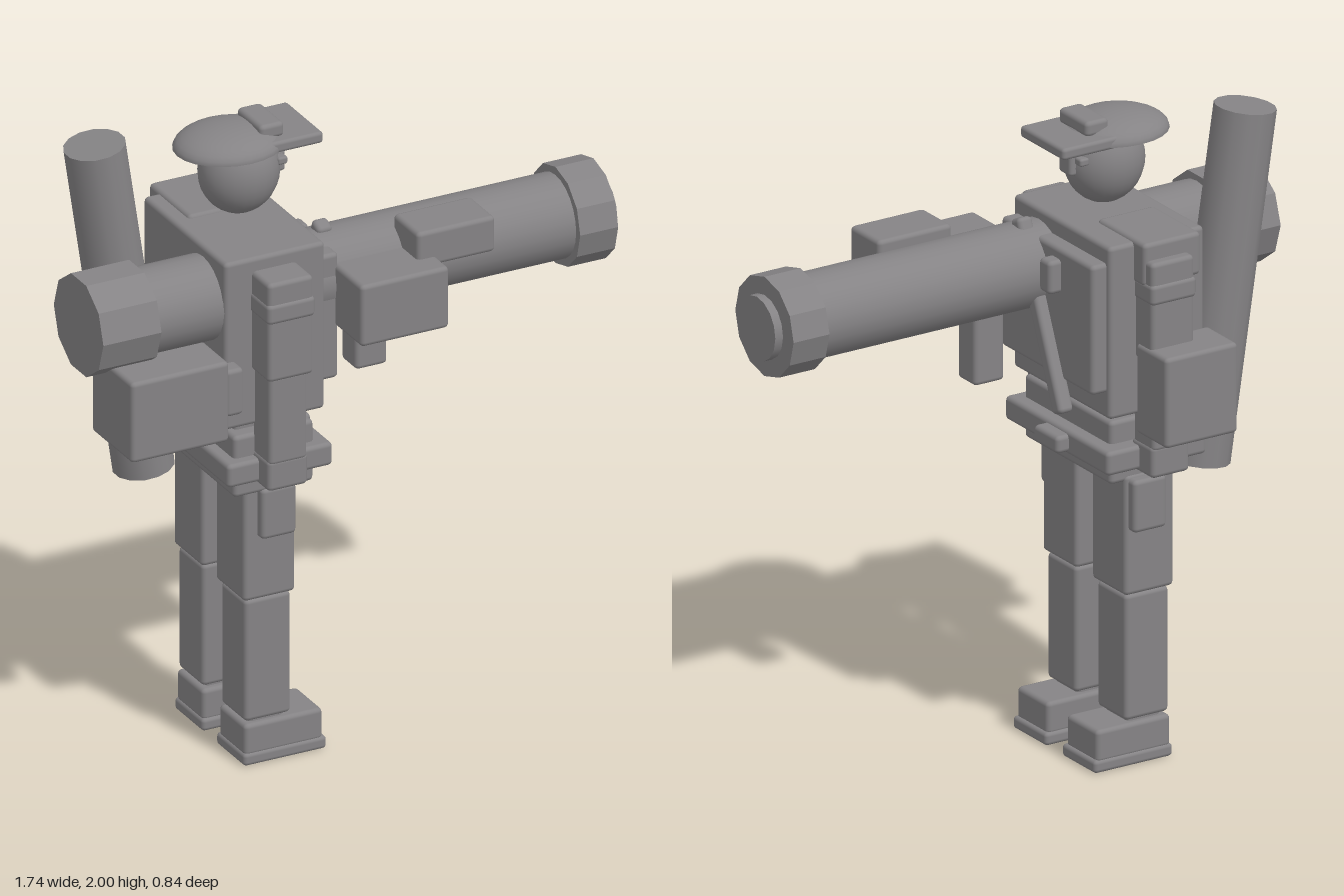
import * as THREE from 'three';
import { RoundedBoxGeometry } from 'three/addons/geometries/RoundedBoxGeometry.js';

const grey = new THREE.MeshStandardMaterial({ color: 0x858385 });
grey.name = 'grey';
const greyFlat = grey;

export function createModel() {
  const model = new THREE.Group();
  model.name = 'soldier';

  const add = (name, geometry) => {
    const mesh = new THREE.Mesh(geometry, greyFlat);
    mesh.name = name;
    model.add(mesh);
    return mesh;
  };

  // Softly bevelled box given by its limits on each axis
  const box = (name, [x0, x1], [y0, y1], [z0, z1]) => {
    const w = x1 - x0, h = y1 - y0, d = z1 - z0;
    const r = Math.min(0.014, Math.min(w, h, d) * 0.3);
    const mesh = add(name, new RoundedBoxGeometry(w, h, d, 2, r));
    mesh.position.set((x0 + x1) / 2, (y0 + y1) / 2, (z0 + z1) / 2);
    return mesh;
  };

  // The same box on both sides of the body's middle plane
  const MID = 0.018;
  const pair = (name, x, y, [z0, z1]) => {
    box(name + 'Right', x, y, [z0, z1]);
    box(name + 'Left', x, y, [2 * MID - z1, 2 * MID - z0]);
  };

  // Cylinder lying along x, with flat sides when it has few of them
  const tube = (name, x0, x1, r, sides) => {
    let g = new THREE.CylinderGeometry(r, r, x1 - x0, sides);
    if (sides < 16) {
      g = g.toNonIndexed();
      g.computeVertexNormals();
    }
    g.rotateZ(-Math.PI / 2);
    add(name, g).position.set((x0 + x1) / 2, 1.512, 0.13);
  };

  // Legs and boots
  pair('sole', [-0.378, -0.103], [0, 0.04], [0.06, 0.24]);
  pair('boot', [-0.373, -0.114], [0.03, 0.132], [0.068, 0.235]);
  pair('shin', [-0.37, -0.217], [0.14, 0.537], [0.075, 0.23]);
  pair('ankle', [-0.35, -0.235], [0.1, 0.2], [0.09, 0.215]);
  pair('thigh', [-0.38, -0.208], [0.54, 0.92], [0.06, 0.242]);
  pair('thighPouch', [-0.336, -0.22], [0.745, 0.91], [0.2, 0.272]);

  // Hips, belt and torso
  box('hips', [-0.425, -0.16], [0.9, 1.1], [-0.2, 0.265]);
  box('waist', [-0.4, -0.19], [1.05, 1.2], [-0.17, 0.22]);
  box('belt', [-0.463, -0.114], [0.955, 1.03], [-0.255, 0.3]);
  box('buckle', [-0.13, -0.072], [0.965, 1.02], [-0.047, 0.082]);
  box('torso', [-0.457, -0.124], [1.13, 1.675], [-0.25, 0.268]);
  box('chestPlate', [-0.16, -0.072], [1.213, 1.622], [-0.235, 0.255]);
  box('shoulderYoke', [-0.41, -0.21], [1.55, 1.685], [-0.305, -0.05]);

  // Arms
  pair('upperArm', [-0.367, -0.217], [1.31, 1.632], [0.24, 0.373]);
  pair('shoulderPad', [-0.371, -0.213], [1.5, 1.565], [0.24, 0.379]);
  pair('forearm', [-0.357, -0.23], [1.03, 1.32], [0.25, 0.36]);
  pair('hand', [-0.36, -0.227], [0.945, 1.045], [0.245, 0.358]);
  box('sidePack', [-0.464, -0.21], [1.077, 1.362], [-0.423, -0.258]);
  box('rearPouch', [-0.48, -0.42], [1.2, 1.352], [0.2, 0.32]);

  // Chest strap and clip
  const strap = box('chestStrap', [-0.086, -0.035], [1.095, 1.685], [-0.01, 0.04]);
  strap.rotation.x = 0.4;
  box('strapClip', [-0.09, -0.03], [1.485, 1.59], [-0.07, -0.012]);

  // Head and face
  const head = add('head', new THREE.SphereGeometry(0.125, 24, 16));
  head.scale.set(1, 1.08, 0.9);
  head.position.set(-0.28, 1.841, 0.018);
  box('nose', [-0.175, -0.14], [1.817, 1.886], [-0.013, 0.05]);
  pair('eye', [-0.185, -0.152], [1.858, 1.882], [0.052, 0.087]);

  // Cap: shallow dome closed underneath, brim and badge
  const dome = add('capDome', new THREE.SphereGeometry(1, 24, 8, 0, Math.PI * 2, 0, Math.PI / 2));
  dome.scale.set(0.17, 0.065, 0.148);
  dome.position.set(-0.312, 1.926, 0.013);
  const under = add('capUnderside', new THREE.CircleGeometry(1, 24).rotateX(Math.PI / 2));
  under.scale.set(0.17, 1, 0.148);
  under.position.copy(dome.position);
  box('capBrim', [-0.256, -0.053], [1.919, 1.956], [-0.11, 0.124]);
  box('capBadge', [-0.246, -0.165], [1.952, 2.0], [-0.063, 0.09]);

  // Shoulder launcher
  tube('launcherTube', -0.7, 0.73, 0.131, 24);
  tube('launcherRear', -0.87, -0.677, 0.157, 10);
  tube('launcherMuzzle', 0.712, 0.838, 0.157, 12);
  tube('launcherNose', 0.82, 0.865, 0.1, 16);
  box('launcherSight', [0.146, 0.405], [1.552, 1.668], [0.18, 0.337]);
  box('launcherHousing', [-0.083, 0.21], [1.382, 1.582], [0.2, 0.418]);
  box('launcherGrip', [0.024, 0.13], [1.18, 1.42], [0.085, 0.18]);
  box('launcherRearBox', [-0.807, -0.482], [1.135, 1.397], [0.09, 0.346]);

  // Spare tube carried on the back
  const bottom = new THREE.Vector3(-0.53, 0.875, -0.108);
  const top = new THREE.Vector3(-0.693, 1.958, -0.108);
  const spare = add('spareTube', new THREE.CylinderGeometry(0.094, 0.094, bottom.distanceTo(top), 14));
  spare.position.copy(bottom).add(top).multiplyScalar(0.5);
  spare.quaternion.setFromUnitVectors(new THREE.Vector3(0, 1, 0), top.clone().sub(bottom).normalize());

  return model;
}
